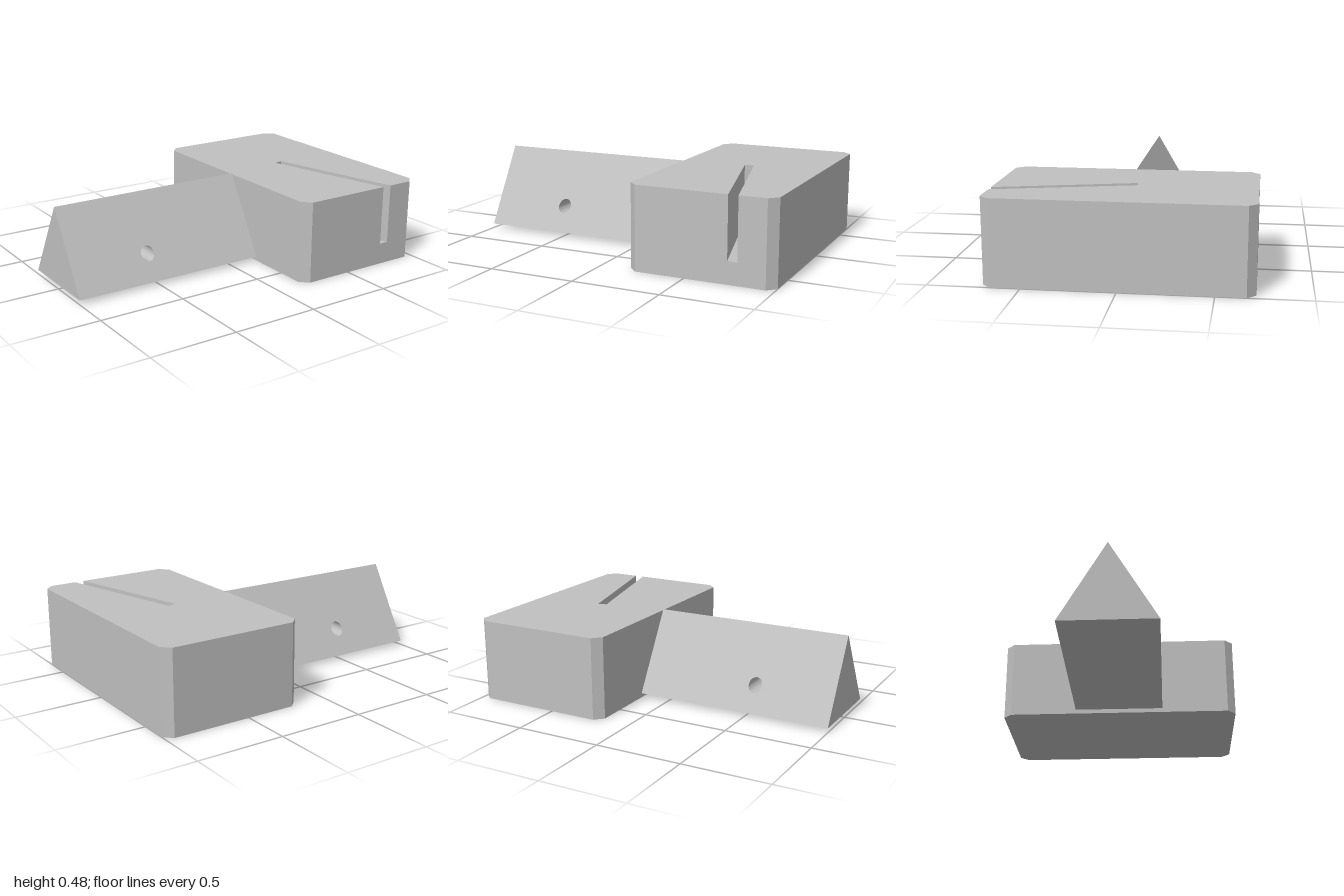
import * as THREE from 'three';
import { toCreasedNormals } from 'three/addons/utils/BufferGeometryUtils.js';

const grey = new THREE.MeshStandardMaterial({ color: 0xc0c0c0 });
grey.name = 'grey';

// Upright prism from a floor outline of [x, z] points
function prism(name, outline, height) {
  const shape = new THREE.Shape(outline.map(([x, z]) => new THREE.Vector2(x, -z)));
  const geometry = new THREE.ExtrudeGeometry(shape, { depth: height, bevelEnabled: false });
  geometry.rotateX(-Math.PI / 2);
  const mesh = new THREE.Mesh(geometry, grey);
  mesh.name = name;
  return mesh;
}

// Triangular bar: a pierced rectangle whose thickness tapers to a ridge
function makeBar() {
  const x0 = -1, x1 = 0.18, base = 0.025, ridge = 0.479, halfWidth = 0.264;
  const side = new THREE.Shape([
    new THREE.Vector2(x0, base), new THREE.Vector2(x1, base),
    new THREE.Vector2(x1, ridge), new THREE.Vector2(x0, ridge),
  ]);
  const hole = new THREE.Path();
  hole.absarc(-0.53, 0.168, 0.04, 0, Math.PI * 2, true);
  side.holes.push(hole);
  const geometry = new THREE.ExtrudeGeometry(side, { depth: 1, bevelEnabled: false, curveSegments: 32 });
  const p = geometry.attributes.position;
  for (let i = 0; i < p.count; i++) {
    const half = halfWidth * (ridge - p.getY(i)) / (ridge - base);
    p.setZ(i, p.getZ(i) > 0.5 ? half : -half);
  }
  const mesh = new THREE.Mesh(toCreasedNormals(geometry, 0.5), grey);
  mesh.name = 'triangularBar';
  return mesh;
}

export function createModel() {
  const model = new THREE.Group();
  model.name = 'slottedBlockWithBar';

  // Chamfered block with an angled slot opening at the front
  const l = 0.17, r = 1, d = 0.708, c = 0.048;
  const slot = [[0.798, d], [0.597, -0.063], [0.545, -0.05], [0.743, d]];
  const outline = [
    [r - c, d], ...slot, [l + c, d], [l, d - c], [l, c - d],
    [l + c, -d], [r - c, -d], [r, c - d], [r, d - c],
  ];
  model.add(prism('block', outline, 0.474));
  model.add(prism('slotFloor', slot, 0.126));
  model.add(makeBar());
  return model;
}
